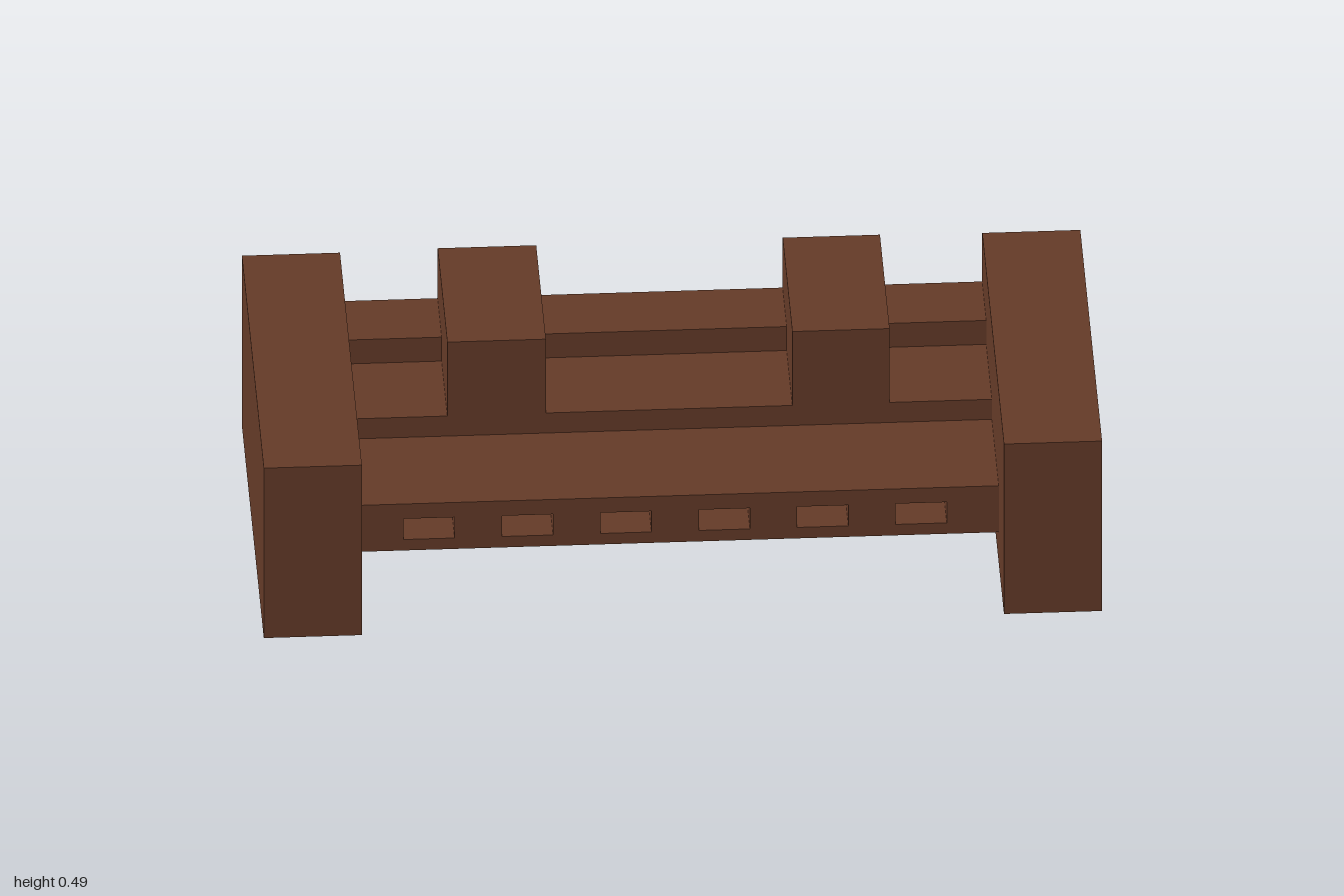
import * as THREE from 'three';

export function createModel() {
  const group = new THREE.Group();
  const material = new THREE.MeshStandardMaterial({ color: 0x633a27, flatShading: true });
  const BACK = -0.465, INNER = 0.766;

  // Box given by its limits on each axis
  const block = (name, [x0, x1], [y0, y1], [z0, z1]) => {
    const mesh = new THREE.Mesh(new THREE.BoxGeometry(x1 - x0, y1 - y0, z1 - z0), material);
    mesh.position.set((x0 + x1) / 2, (y0 + y1) / 2, (z0 + z1) / 2);
    mesh.name = name;
    group.add(mesh);
  };

  // Side walls
  block('rightWall', [-1, -INNER], [0, 0.483], [BACK, 0.463]);
  block('leftWall', [INNER, 1], [0, 0.483], [BACK, 0.457]);

  // Base and raised step
  block('base', [-INNER, INNER], [0, 0.22], [BACK, 0.083]);
  block('step', [-INNER, INNER], [0.22, 0.277], [BACK, -0.055]);

  // Two tall blocks on the step
  const towers = [[-0.533, -0.298], [0.29, 0.522]];
  towers.forEach((x) => block('tower', x, [0.277, 0.487], [BACK, -0.055]));

  // Low rear wall between the towers and side walls
  const stops = [-INNER, ...towers.flat(), INNER];
  for (let i = 0; i < stops.length; i += 2) {
    block('rearWall', [stops[i], stops[i + 1]], [0.277, 0.345], [BACK, -0.295]);
  }

  // Overhanging front ledge with a row of rectangular slots
  const rect = (Type, x0, x1, y0, y1) => {
    const path = new Type();
    path.moveTo(x0, y0).lineTo(x1, y0).lineTo(x1, y1).lineTo(x0, y1).closePath();
    return path;
  };
  const face = rect(THREE.Shape, -INNER, INNER, 0.088, 0.22);
  for (let i = 0; i < 6; i++) {
    const x = -0.593 + i * 0.2348;
    face.holes.push(rect(THREE.Path, x - 0.061, x + 0.061, 0.119, 0.178));
  }
  const ledge = new THREE.Mesh(
    new THREE.ExtrudeGeometry(face, { depth: 0.152, bevelEnabled: false }), material);
  ledge.position.z = 0.083;
  ledge.name = 'slottedLedge';
  group.add(ledge);

  return group;
}
